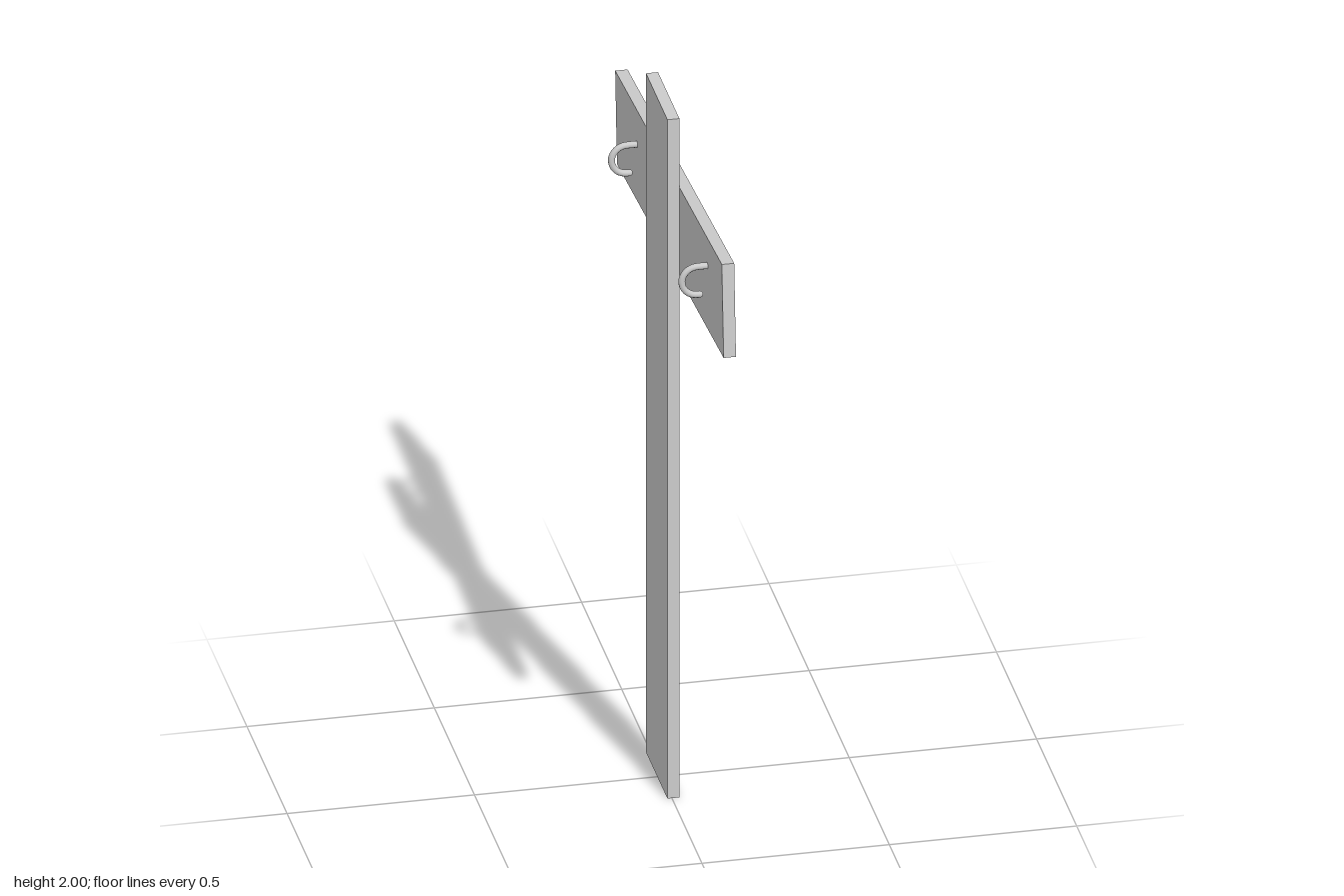
import * as THREE from 'three';

export function createModel() {
  const group = new THREE.Group();
  const material = new THREE.MeshStandardMaterial({ color: 0xcccccc });

  const add = (name, geometry, x, y, z) => {
    const mesh = new THREE.Mesh(geometry, material);
    mesh.name = name;
    mesh.position.set(x, y, z);
    group.add(mesh);
    return mesh;
  };

  // Upright plank
  add('post', new THREE.BoxGeometry(0.032, 2, 0.267), 0.004, 1, -0.008);

  // Tilted plank fixed to the face of the post
  const board = add('crossBoard', new THREE.BoxGeometry(0.033, 0.265, 1.334), 0.0365, 1.654, 0.001);
  board.rotation.x = -0.083;

  // Curved hooks on the back of the board: a short shank, then a half circle
  const radius = 0.041, tube = 0.009, centreX = -0.007;
  const points = [new THREE.Vector3(0.024, radius, 0)];
  for (let i = 0; i <= 10; i++) {
    const a = Math.PI / 2 + (i / 10) * Math.PI;
    points.push(new THREE.Vector3(centreX + radius * Math.cos(a), radius * Math.sin(a), 0));
  }
  const tip = new THREE.Vector3(0, -radius, 0);
  points.push(tip);
  const hookGeometry = new THREE.TubeGeometry(new THREE.CatmullRomCurve3(points), 32, tube, 10);
  const tipGeometry = new THREE.SphereGeometry(tube, 10, 8);

  for (const [name, y, z] of [['frontHook', 1.704, 0.473], ['backHook', 1.612, -0.404]]) {
    add(name, hookGeometry, 0, y, z);
    add(name + 'Tip', tipGeometry, tip.x, y + tip.y, z);
  }
  return group;
}
